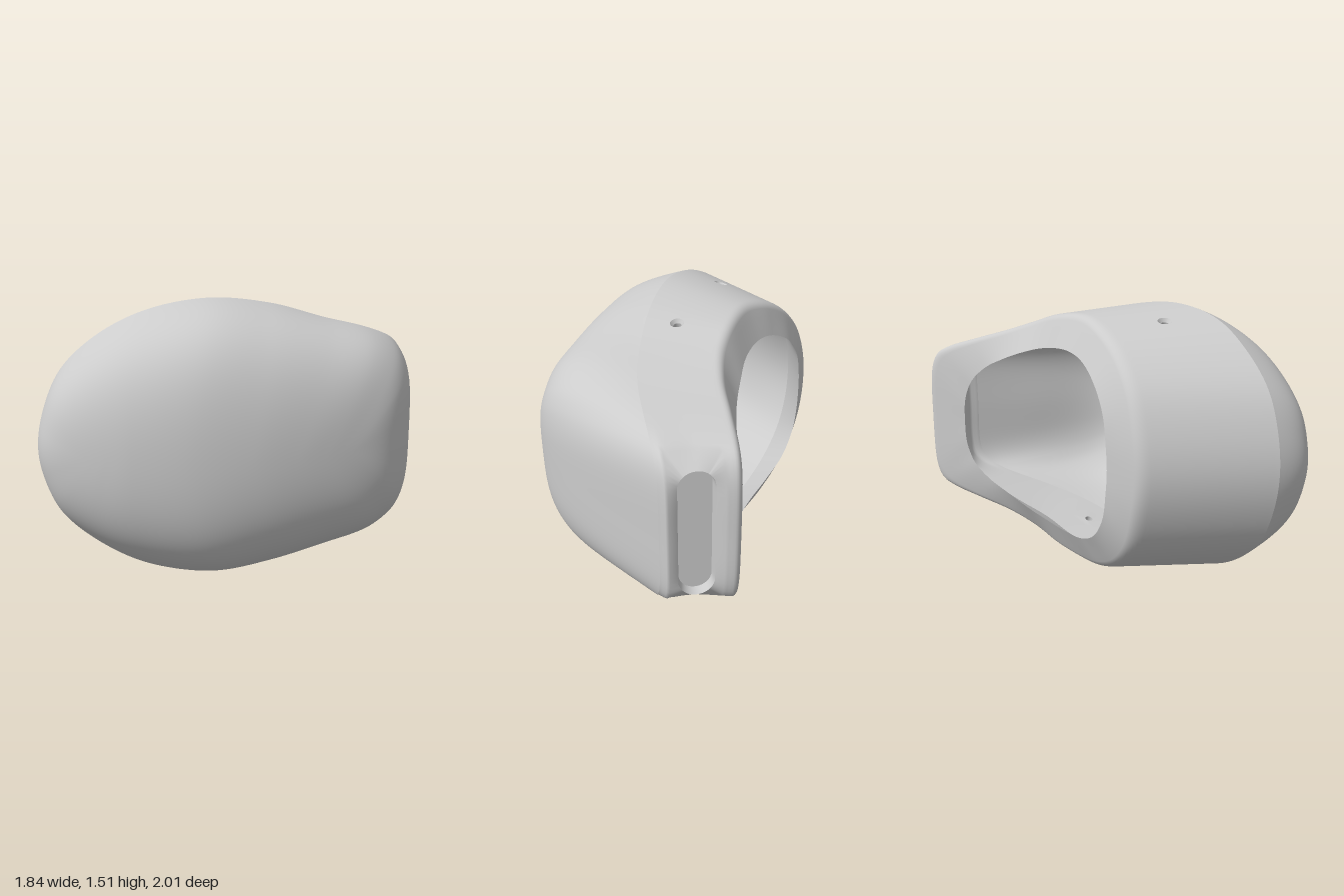
import * as THREE from 'three';
import { mergeGeometries, mergeVertices } from 'three/addons/utils/BufferGeometryUtils.js';

const MID = 0.755, WALL = 0.07;   // height of the symmetry plane, shell thickness
const N = 200, M = 24;            // columns around the loop, rows across the band
const BAND_END = 0.92;
const V = (x, y, z) => new THREE.Vector3(x, y, z);
const { smoothstep, clamp } = THREE.MathUtils;

// Closed loops as [x, z, half height], from the left tip over the top to the right end
const seamPts = [[-.92, .77, 0], [-.89, .76, .2], [-.8, .73, .4], [-.62, .66, .575], [-.38, .57, .7],
  [-.1, .41, .755], [.17, .19, .72], [.42, -.08, .625], [.59, -.32, .56], [.69, -.53, .5],
  [.735, -.64, .46], [.768, -.725, .405], [.785, -.775, .32], [.79, -.79, 0]];
const rearPts = [[-.92, .08, 0], [-.89, .07, .2], [-.8, .05, .4], [-.65, .01, .55], [-.46, -.05, .65],
  [-.24, -.125, .705], [-.03, -.26, .69], [.12, -.38, .635], [.24, -.54, .57], [.34, -.74, .505],
  [.42, -.9, .45], [.455, -.97, .405], [.472, -1.005, .32], [.478, -1.018, 0]];
const openingPts = [[-.745, -.055, 0], [-.735, -.06, .13], [-.7, -.07, .27], [-.6, -.1, .4], [-.42, -.15, .495],
  [-.25, -.22, .525], [-.08, -.33, .51], [.05, -.45, .465], [.16, -.56, .41], [.24, -.66, .35],
  [.29, -.74, .27], [.315, -.775, .2], [.325, -.795, .12], [.33, -.8, 0]];
const shoulderPts = [[-.835, .985, 0], [-.82, .98, .11], [-.75, .955, .29], [-.57, .92, .44], [-.34, .85, .565],
  [.03, .74, .66], [.3, .56, .66], [.56, .37, .64], [.8, .24, .59], [.92, .15, .5],
  [.975, .16, .4], [1.0, .18, .31], [1.015, .19, .21], [1.02, .19, 0]];
// The face bulges along a spine z = f(x) in the symmetry plane
const spineX = [-.5, -.496, -.48, -.42, -.3, -.02, .25, .45, .57, .64, .67, .68, .682, .684];
const spinePts = spineX.map(x => [x, .9 - .38 * x - .35 * x * x, 0]);

function loop(pts) {
  const top = pts.map(([x, z, h]) => V(x, h, z));
  const bottom = pts.slice(1, -1).reverse().map(([x, z, h]) => V(x, -h, z));
  const c = new THREE.CatmullRomCurve3([...top, ...bottom], true, 'centripetal');
  c.arcLengthDivisions = 1000;
  return c;
}
const seam = loop(seamPts), rear = loop(rearPts), opening = loop(openingPts);
const shoulder = loop(shoulderPts), spine = loop(spinePts);

// The end wall bulges just behind the seam and dips slightly towards the rear corner
const endNormal = V(.45, 0, -.89);
const endLift = v => .042 * smoothstep(v, 0, .12) * (1 - smoothstep(v, .12, .55)) - .012 * Math.sin(Math.PI * v);

// All control points of the cross-section at u
function station(u) {
  const t = seam.getUtoTmapping(u);
  const [S, B, O, C, Q] = [seam, rear, opening, shoulder, spine].map(c => c.getPoint(t));
  Q.y = 0;
  const core = S.clone().add(B).add(Q).divideScalar(3).setY(0).lerp(V(-.15, 0, .3), .3);
  const n = V(.38 + .7 * Q.x, 0, 1).normalize();
  const d = C.clone().sub(Q);
  d.addScaledVector(n, -d.dot(n));
  const cap = new THREE.CubicBezierCurve3(Q, Q.clone().addScaledVector(d, .8), S.clone().lerp(C, .92), S);
  const atEnd = 1 - smoothstep(Math.abs(u - .5), .05, .1);
  const band = v => S.clone().lerp(B, v * BAND_END).addScaledVector(endNormal, atEnd * endLift(v));
  const edge = new THREE.QuadraticBezierCurve3(band(1), B, B.clone().lerp(O, .18));
  return { O, core, cap, band, edge };
}
const stations = Array.from({ length: N }, (_, i) => station(i / N));
const ringsOf = (count, f) => Array.from({ length: count + 1 }, (_, k) => stations.map(s => f(s, k / count)));
const inset = rings => rings.map(r => r.map((p, i) => {
  const d = stations[i].core.clone().sub(p);
  return p.clone().addScaledVector(d.normalize(), WALL);
}));

// Skin between closed rings of equal length; skip leaves out single cells
function loft(rings, flip = false, skip = () => false) {
  const n = rings[0].length, index = [];
  for (let k = 0; k < rings.length - 1; k++) for (let i = 0; i < n; i++) {
    if (skip(i, k)) continue;
    const j = (i + 1) % n, a = k * n + i, b = k * n + j, c = b + n, d = a + n;
    index.push(...(flip ? [a, c, b, a, d, c] : [a, b, c, a, c, d]));
  }
  const g = new THREE.BufferGeometry();
  g.setAttribute('position', new THREE.Float32BufferAttribute(rings.flat().flatMap(p => [p.x, p.y + MID, p.z]), 3));
  g.setIndex(index);
  return g;
}

// A round or long cut in the band: the cell block it replaces and its outline
function makeCut(u, v, halfI, halfJ, r, L) {
  const at = (a, b) => station(a).band(b);
  const c = at(u, v);
  const e1 = at(u + .004, v).sub(at(u - .004, v)).normalize();
  const e2 = at(u, v + .25).sub(at(u, v - .25));
  e2.addScaledVector(e1, -e2.dot(e1)).normalize();
  const n = e1.clone().cross(e2);
  const i0 = Math.round(u * N) - halfI, i1 = i0 + 2 * halfI;
  const j0 = Math.round(v * M) - halfJ, j1 = j0 + 2 * halfJ;
  const cells = [];
  for (let i = i0; i < i1; i++) cells.push([i, j0]);
  for (let j = j0; j < j1; j++) cells.push([i1, j]);
  for (let i = i1; i > i0; i--) cells.push([i, j1]);
  for (let j = j1; j > j0; j--) cells.push([i0, j]);
  const block = rings => cells.map(([i, j]) => rings[j][(i + N) % N].clone());
  // Outline of the given radius, sunk by depth; radius 0 gives the middle line
  const outline = (rings, radius, depth) => block(rings).map(p => {
    const w = p.sub(c), a = w.dot(e1), b = w.dot(e2);
    const mid = clamp(a, -L, L), len = Math.hypot(a - mid, b) || 1;
    return c.clone().addScaledVector(e1, mid + radius * (a - mid) / len)
      .addScaledVector(e2, radius * b / len).addScaledVector(n, -depth);
  });
  const covers = (i, j) => i >= i0 && i < i1 && j >= j0 && j < j1;
  return { r, block, outline, covers };
}

// Band coordinates of a point given in plan
function locate(x, z) {
  let best = [0, 0, Infinity];
  for (let a = 1; a < 300; a++) {
    const s = station(a / 600);
    for (let b = 1; b < 50; b++) {
      const p = s.band(b / 50), d = Math.hypot(p.x - x, p.z - z);
      if (d < best[2]) best = [a / 600, b / 50, d];
    }
  }
  return best;
}

export function createModel() {
  const group = new THREE.Group();
  const material = new THREE.MeshStandardMaterial({ color: 0xcccccc });
  const add = (name, ...geos) => {
    const g = mergeVertices(mergeGeometries(geos), 1e-5);
    g.computeVertexNormals();
    const mesh = new THREE.Mesh(g, material);
    mesh.name = name;
    group.add(mesh);
  };

  const cap = ringsOf(32, (s, k) => s.cap.getPoint(k));
  const band = ringsOf(M, (s, k) => s.band(k));
  const edge = ringsOf(6, (s, k) => s.edge.getPoint(k));
  const rim = stations.map(s => s.O);
  const innerBand = inset(band);

  // Four screw holes, mirrored top to bottom, and the long slot in the end wall
  const holes = [[.18, -.06], [-.38, .3]].flatMap(([x, z]) => {
    const [u, v] = locate(x, z);
    return [u, 1 - u].map(w => makeCut(w, v, 3, 4, .038, 0));
  });
  const slot = makeCut(.5, .5, 14, 9, .09, .265);
  const cuts = [...holes, slot];

  // Domed front cover
  add('frontCover', loft(cap));

  // Side band with its rounded rear edge and the back face around the opening
  const patches = cuts.map(h => loft([h.block(band), h.outline(band, h.r, 0)]));
  const back = [0, .25, .5, .75, 1].map(k => edge[6].map((p, i) => p.clone().lerp(rim[i], k)));
  add('sideBand', loft(band, false, (i, j) => cuts.some(h => h.covers(i, j))), ...patches, loft(edge), loft(back));

  // Hollow inside
  const innerPatches = holes.map(h => loft([h.block(innerBand), h.outline(band, .023, WALL)], true));
  add('innerCover', loft(inset(cap), true));
  add('innerBand', loft(innerBand, true, (i, j) => holes.some(h => h.covers(i, j))), ...innerPatches);
  add('openingLip', loft([innerBand[M], rim], true));

  // Countersunk walls of the screw holes
  for (const h of holes) {
    add('screwHoleCountersink', loft([h.outline(band, h.r, 0), h.outline(band, .023, .02)]));
    add('screwHole', loft([h.outline(band, .023, .02), h.outline(band, .023, WALL)]));
  }

  // Walls and floor of the end slot
  add('slotWall', loft([slot.outline(band, slot.r, 0), slot.outline(band, slot.r - .008, .05)]));
  add('slotFloor', loft([slot.outline(band, slot.r - .008, .05), slot.outline(band, 0, .05)]));
  return group;
}
